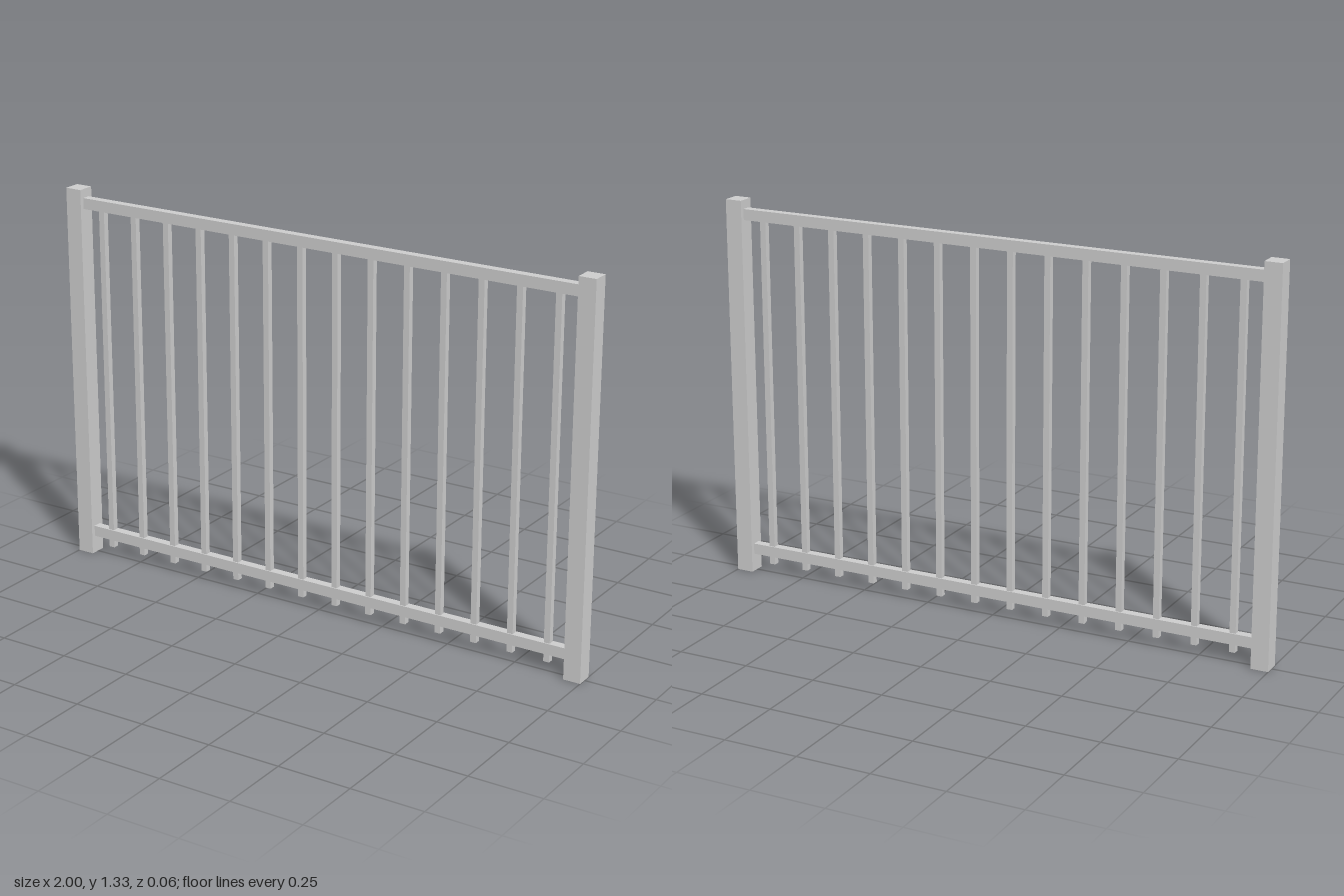
import * as THREE from 'three';

export function createModel() {
  const group = new THREE.Group();
  const material = new THREE.MeshStandardMaterial({ color: 0xcccccc, flatShading: true });

  const addBar = (name, width, bottom, top, depth, x) => {
    const mesh = new THREE.Mesh(new THREE.BoxGeometry(width, top - bottom, depth), material);
    mesh.name = name;
    mesh.position.set(x, (bottom + top) / 2, 0);
    group.add(mesh);
  };

  // End posts
  addBar('leftPost', 0.06, 0, 1.333, 0.06, 0.97);
  addBar('rightPost', 0.06, 0, 1.333, 0.06, -0.97);

  // Horizontal rails, let into the posts
  addBar('topRail', 1.996, 1.264, 1.302, 0.03, 0);
  addBar('bottomRail', 1.996, 0.063, 0.101, 0.03, 0);

  // Evenly spaced balusters, passing through the bottom rail
  const count = 14, spacing = 0.1335;
  for (let i = 0; i < count; i++) {
    addBar('baluster' + (i + 1), 0.021, 0.035, 1.28, 0.021, (i - (count - 1) / 2) * spacing);
  }

  return group;
}
